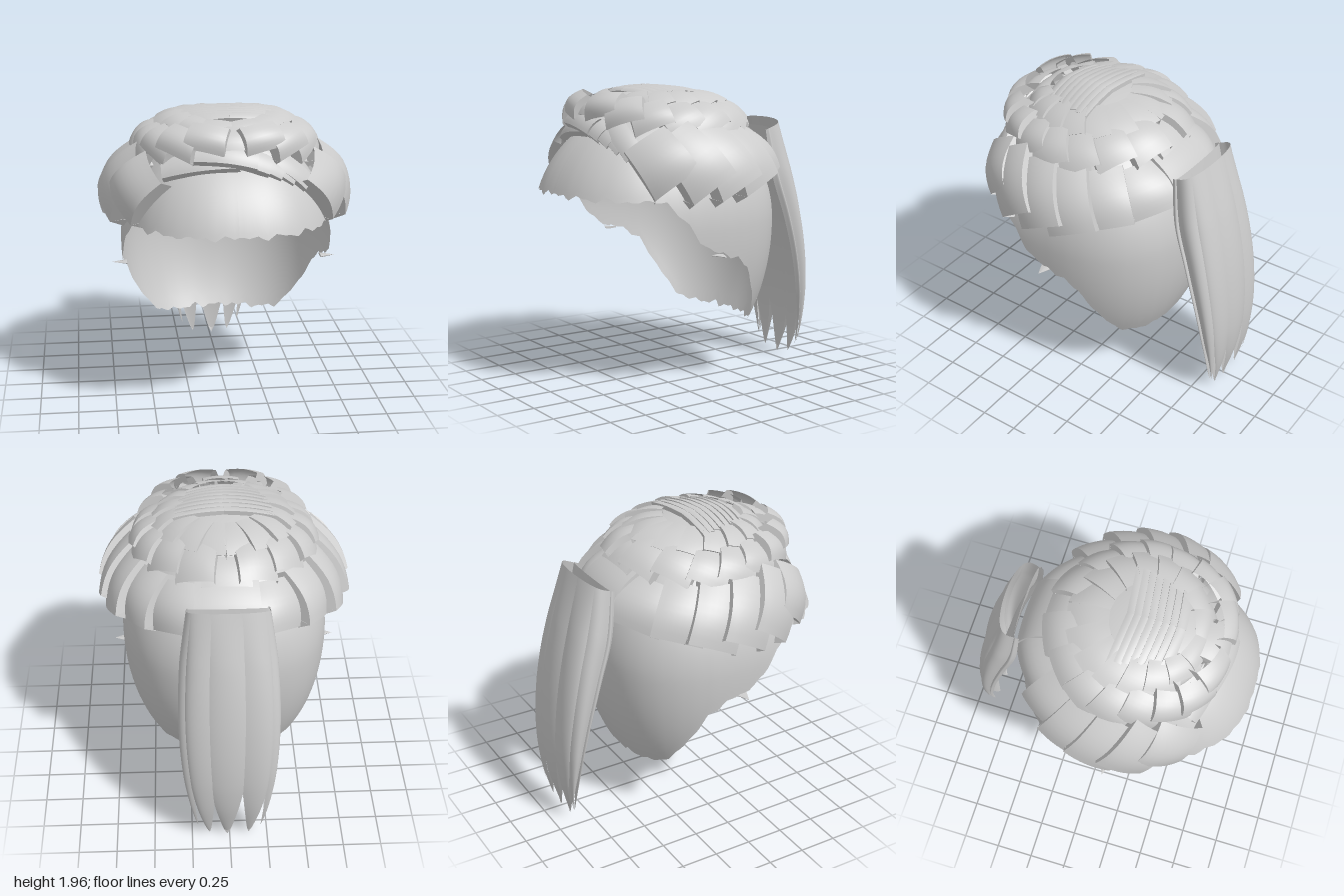
import * as THREE from 'three';

const mat = new THREE.MeshStandardMaterial({ color: 0xcccccc, side: THREE.DoubleSide });
const V = (x, y, z) => new THREE.Vector3(x, y, z);
const { lerp, clamp } = THREE.MathUtils;

// Smooth surface from a grid of points, fn(i / cols, j / rows)
function gridMesh(name, cols, rows, fn) {
  const pos = [], idx = [];
  for (let j = 0; j <= rows; j++)
    for (let i = 0; i <= cols; i++) pos.push(...fn(i / cols, j / rows, i, j).toArray());
  for (let j = 0; j < rows; j++)
    for (let i = 0; i < cols; i++) {
      const a = j * (cols + 1) + i, b = a + cols + 1;
      idx.push(a, b, a + 1, a + 1, b, b + 1);
    }
  const geo = new THREE.BufferGeometry();
  geo.setAttribute('position', new THREE.Float32BufferAttribute(pos, 3));
  geo.setIndex(idx);
  geo.computeVertexNormals();
  const mesh = new THREE.Mesh(geo, mat);
  mesh.name = name;
  return mesh;
}

// Lower edge height of the cap for a given z
const EDGE = [[-0.7, 0.42], [-0.35, 0.41], [-0.28, 0.45], [-0.2, 0.65], [-0.1, 0.83], [0, 0.92],
  [0.15, 0.95], [0.3, 1.05], [0.42, 1.2], [0.5, 1.3], [1.1, 1.32]];
function edgeY(z) {
  const i = Math.max(1, EDGE.findIndex(e => e[0] >= z));
  const [a, b] = [EDGE[i - 1], EDGE[i]];
  return lerp(a[1], b[1], (z - a[0]) / (b[0] - a[0]));
}

// Point on the scalp for azimuth and elevation
function scalp(theta, psi) {
  const s = Math.sin(theta), c = Math.cos(theta), p = 2.4;
  const k = Math.cos(psi) * (Math.abs(s) ** p + Math.abs(c) ** p) ** (-1 / p);
  const h = Math.sin(psi);
  return V(0.685 * s * k, 1.1 + h * (h > 0 ? 0.77 : 1.12), 0.15 + c * k * (c > 0 ? 0.835 : 0.73));
}

// Scalp cap cut to a ragged hairline
function makeCap() {
  const cols = 144, ends = [];
  for (let i = 0; i < cols; i++) {
    const theta = (i / cols) * Math.PI * 2;
    const rough = 0.009 * Math.sin(i * 0.9) + 0.009 * Math.sin(i * 1.7 + 1) + 0.005 * Math.sin(i * 5.1);
    let hi = Math.PI / 2, lo = -1.3;
    for (let n = 0; n < 24; n++) {
      const mid = (hi + lo) / 2, p = scalp(theta, mid);
      if (p.y > edgeY(p.z) + rough) hi = mid; else lo = mid;
    }
    ends.push(hi);
  }
  return gridMesh('scalpCap', cols, 32, (u, v, i) =>
    scalp(u * Math.PI * 2, lerp(Math.PI / 2, ends[i % cols], v)));
}

// Thick overlapping lock from root a to tip b: one edge tilts out, sides and tip fold back in
function makeLock(name, a, b, { half, bulge, tuck, tilt = 0, root = 0.9 }) {
  const axis = b.clone().sub(a);
  const mid = a.clone().lerp(b, 0.5);
  const dir = axis.clone().normalize();
  const n = mid.sub(V(0, 1.2, 0.12));
  n.addScaledVector(dir, -n.dot(dir)).normalize();
  const side = dir.clone().cross(n);
  const rows = 8, cols = 8;
  return gridMesh(name, cols + 4, rows + 2, (_u, _v, i, j) => {
    const v = Math.min(j, rows) / rows, w = clamp((i - 2) / cols, 0, 1) * 2 - 1;
    const tipFold = j > rows + 1 ? tuck : 0;
    const fold = tipFold || i === 0 || i === cols + 4 ? tuck : 0;
    const lift = bulge * Math.sin(Math.PI * 0.85 * v) + bulge * 0.4 * (0.5 - w * w) - tilt * w * v - fold;
    return a.clone().addScaledVector(axis, v)
      .addScaledVector(side, w * half * lerp(root, 1, v))
      .addScaledVector(dir, -tipFold * 0.7)
      .addScaledVector(n, lift);
  });
}

// The same lock on both sides, rear edge outward
function addPair(group, name, a, b, opts) {
  for (const s of [1, -1])
    group.add(makeLock(name, V(a[0] * s, a[1], a[2]), V(b[0] * s, b[1], b[2]),
      { ...opts, tilt: (opts.tilt ?? 0) * s }));
}

// Ponytail: an outer and an inner layer of five tapering locks
function makePonytail() {
  const g = new THREE.Group();
  g.name = 'ponytail';
  const curve = pts => new THREE.CatmullRomCurve3(pts.map(([z, y]) => V(0, y, z)));
  const outer = curve([[-0.73, 1.74], [-0.81, 1.46], [-0.88, 1.17], [-0.925, 0.89], [-0.945, 0.6], [-0.93, 0.31], [-0.87, 0.03]]);
  const inner = curve([[-0.55, 1.67], [-0.59, 1.36], [-0.68, 1.08], [-0.76, 0.8], [-0.82, 0.52], [-0.855, 0.25], [-0.87, 0.03]]);
  const max = 1.85, centers = [-1.44, -0.72, 0.08, 0.76, 1.44];
  for (const depth of [1, 0.3])
    [0.94, 0.99, 1, 0.985, 0.93].forEach((end, i) => {
      g.add(gridMesh(depth === 1 ? 'outerPonytailLock' : 'innerPonytailLock', 10, 36, (u, v) => {
        const t = v * end, w = u * 2 - 1;
        const taper = v < 0.72 ? 1 : ((1 - v) / 0.28) ** 0.6;
        const phi = clamp(centers[i] + w * 0.43 * taper, -max, max);
        const k = Math.max(0, (Math.cos(phi) - Math.cos(max)) / (1 - Math.cos(max))) ** 0.6;
        const ridge = 0.018 * (1 - w * w) * taper * Math.min(1, v * 5) - 0.012;
        const width = lerp(0.27, 0.2, t) + 0.08 * Math.sin(Math.PI * t) + ridge;
        const p = inner.getPoint(t).lerp(outer.getPoint(t), k * depth);
        p.x = width * Math.sin(phi);
        p.z -= ridge * Math.cos(phi) * depth;
        return p;
      }));
    });
  return g;
}

export function createModel() {
  const model = new THREE.Group();
  model.name = 'hairpiece';
  model.add(makeCap());

  // Lower band of large locks, front to back
  const lower = new THREE.Group();
  lower.name = 'lowerLocks';
  const lowerOpts = { half: 0.165, bulge: 0.065, tuck: 0.1, tilt: 0.03 };
  [[[0.5, 1.69, 0.59], [0.69, 1.41, 0.47]],
    [[0.58, 1.72, 0.45], [0.78, 1.38, 0.26]],
    [[0.6, 1.73, 0.24], [0.79, 1.37, 0.06]],
    [[0.58, 1.72, 0.04], [0.73, 1.37, -0.14]],
    [[0.47, 1.71, -0.15], [0.59, 1.4, -0.31]],
    [[0.29, 1.7, -0.3], [0.35, 1.43, -0.48]]
  ].forEach(([a, b]) => addPair(lower, 'lowerLock', a, b, lowerOpts));
  lower.add(makeLock('backLock', V(0, 1.75, -0.35), V(0, 1.5, -0.58), { half: 0.22, bulge: 0.045, tuck: 0.1 }));
  model.add(lower);

  // Upper band
  const upper = new THREE.Group();
  upper.name = 'upperLocks';
  const upperOpts = { half: 0.13, bulge: 0.05, tuck: 0.07, tilt: 0.022 };
  [[0.19, 1.79, 0.71], [0.37, 1.76, 0.64], [0.49, 1.73, 0.5], [0.57, 1.71, 0.3], [0.6, 1.71, 0.11],
    [0.55, 1.71, -0.08], [0.4, 1.73, -0.25], [0.2, 1.74, -0.39]
  ].forEach(b => addPair(upper, 'upperLock',
    [b[0] * 0.74, b[1] + 0.16, 0.15 + (b[2] - 0.15) * 0.7 + 0.1], b, upperOpts));
  upper.add(makeLock('upperFrontLock', V(0, 1.92, 0.58), V(0, 1.79, 0.72), { half: 0.13, bulge: 0.04, tuck: 0.05 }));
  upper.add(makeLock('upperBackLock', V(0, 1.86, -0.16), V(0, 1.72, -0.42), { half: 0.16, bulge: 0.04, tuck: 0.08 }));
  model.add(upper);

  // Inner ring around the crown
  const ring = new THREE.Group();
  ring.name = 'crownRing';
  for (let i = 0; i < 8; i++) {
    const t = 0.2 + i * 0.385, s = Math.sin(t), c = Math.cos(t);
    addPair(ring, 'crownRingLock', [0.27 * s, 1.945, 0.24 + 0.26 * c],
      [0.47 * s, 1.855, 0.16 + 0.44 * c], { half: 0.115, bulge: 0.026, tuck: 0.05, tilt: 0.015 });
  }
  model.add(ring);

  // Crown dome with stacked horizontal strands
  const dome = new THREE.Mesh(new THREE.SphereGeometry(1, 40, 12, 0, Math.PI * 2, 0, Math.PI / 2), mat);
  dome.name = 'crownDome';
  dome.scale.set(0.44, 0.17, 0.46);
  dome.position.set(0, 1.78, 0.16);
  model.add(dome);
  const crown = new THREE.Group();
  crown.name = 'crownStrands';
  for (let i = 0; i < 8; i++) {
    const z = 0.08 + i * 0.045, drop = 0.45 * (z - 0.2) ** 2;
    addPair(crown, 'crownStrand', [0, 1.985 - drop, z + 0.03], [0.33 - 0.01 * i, 1.945 - drop, z],
      { half: 0.035, bulge: 0.014, tuck: 0.03, tilt: 0.008 });
  }
  model.add(crown);

  // Fringe swept across the forehead
  const fringe = new THREE.Group();
  fringe.name = 'fringe';
  const fringeOpts = { half: 0.065, bulge: 0.035, tuck: 0.05, root: 1.1 };
  for (let i = 0; i < 5; i++)
    fringe.add(makeLock('fringeLock', V(-0.24 + 0.1 * i, 1.8, 0.69 - 0.012 * i),
      V(0.14 + 0.082 * i, 1.74 - 0.042 * i, 0.73 - 0.024 * i), fringeOpts));
  fringe.add(makeLock('fringeLock', V(0.02, 1.76, 0.71), V(-0.44, 1.67, 0.61), fringeOpts));
  model.add(fringe);

  // Small stray tufts beside the ears
  for (const s of [1, -1]) {
    const tuft = new THREE.Mesh(new THREE.ConeGeometry(0.05, 0.1, 6), mat);
    tuft.name = 'earTuft';
    tuft.scale.z = 0.15;
    tuft.rotation.set(Math.PI / 2, 0, -s * Math.PI / 2);
    tuft.position.set(s * 0.7, 0.94, 0.14);
    model.add(tuft);
  }

  model.add(makePonytail());
  return model;
}
